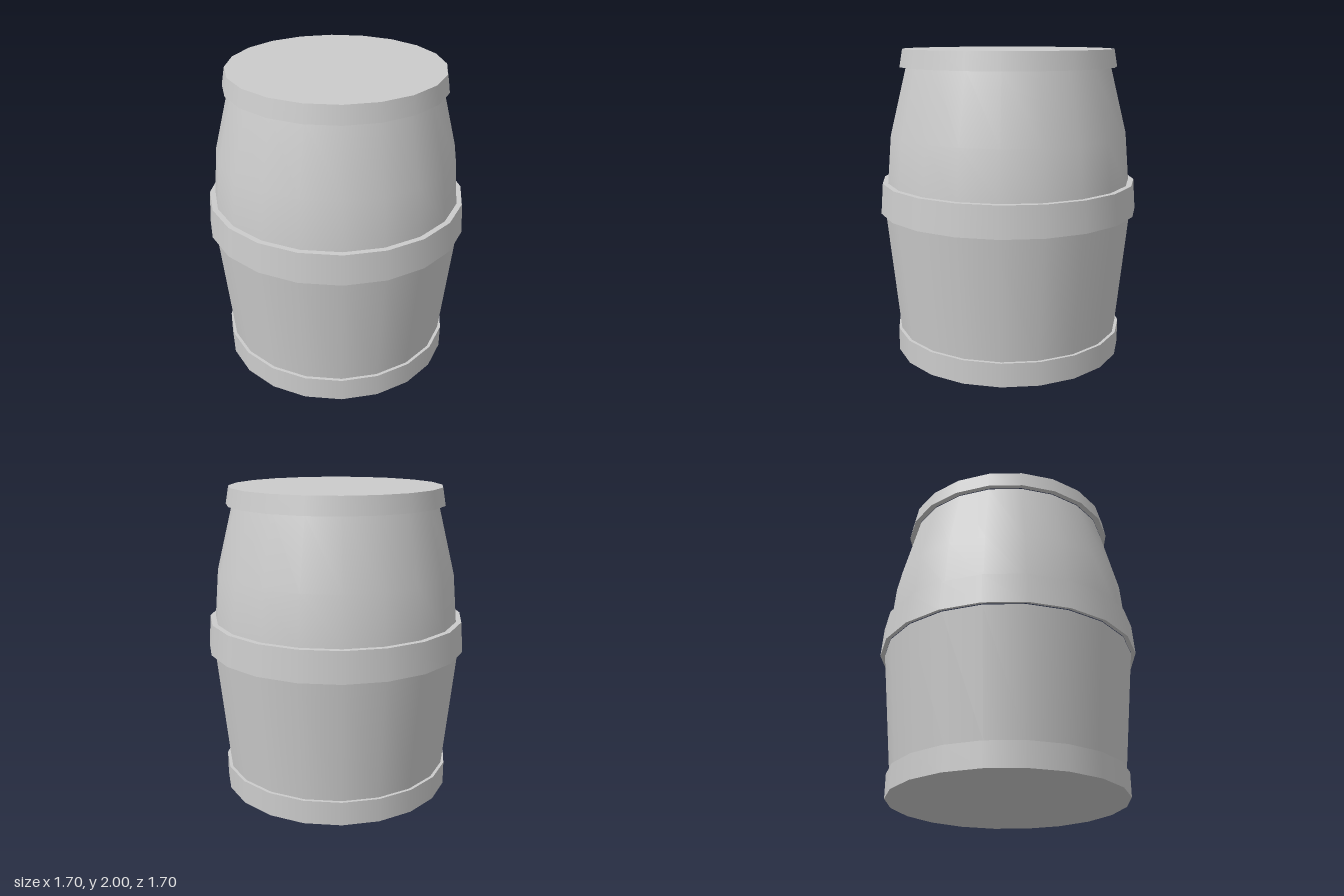
import * as THREE from 'three';
import { mergeGeometries } from 'three/addons/utils/BufferGeometryUtils.js';

const SIDES = 20;
const material = new THREE.MeshStandardMaterial({ color: 0xcccccc });

// One smooth surface of revolution from [radius, height] pairs
function revolve(profile) {
  return new THREE.LatheGeometry(profile.map(([r, y]) => new THREE.Vector2(r, y)), SIDES);
}

// A profile whose every corner stays sharp: one surface per segment
function revolveSharp(profile) {
  return mergeGeometries(profile.slice(1).map((p, i) => revolve([profile[i], p])));
}

export function createModel() {
  const barrel = new THREE.Group();
  barrel.name = 'barrel';
  const add = (name, geometry) => {
    const mesh = new THREE.Mesh(geometry, material);
    mesh.name = name;
    barrel.add(mesh);
  };

  // Staves, bulging to the middle and tapering to the lid
  add('lowerStaves', revolve([[0.74, 0.155], [0.82, 0.955]]));
  add('upperStaves', revolve([[0.8, 1.15], [0.773, 1.46], [0.665, 1.89]]));

  // Bottom hoop, closed underneath
  add('bottomHoop', revolveSharp([[0, 0], [0.76, 0], [0.76, 0.155], [0.74, 0.155]]));

  // Middle hoop standing proud of the staves
  add('middleHoop', revolveSharp([[0.82, 0.96], [0.85, 0.953], [0.835, 1.15], [0.8, 1.15]]));

  // Top hoop, closed by the flat lid
  add('topHoopAndLid', revolveSharp([[0.665, 1.895], [0.705, 1.888], [0.685, 2], [0, 2]]));

  return barrel;
}
